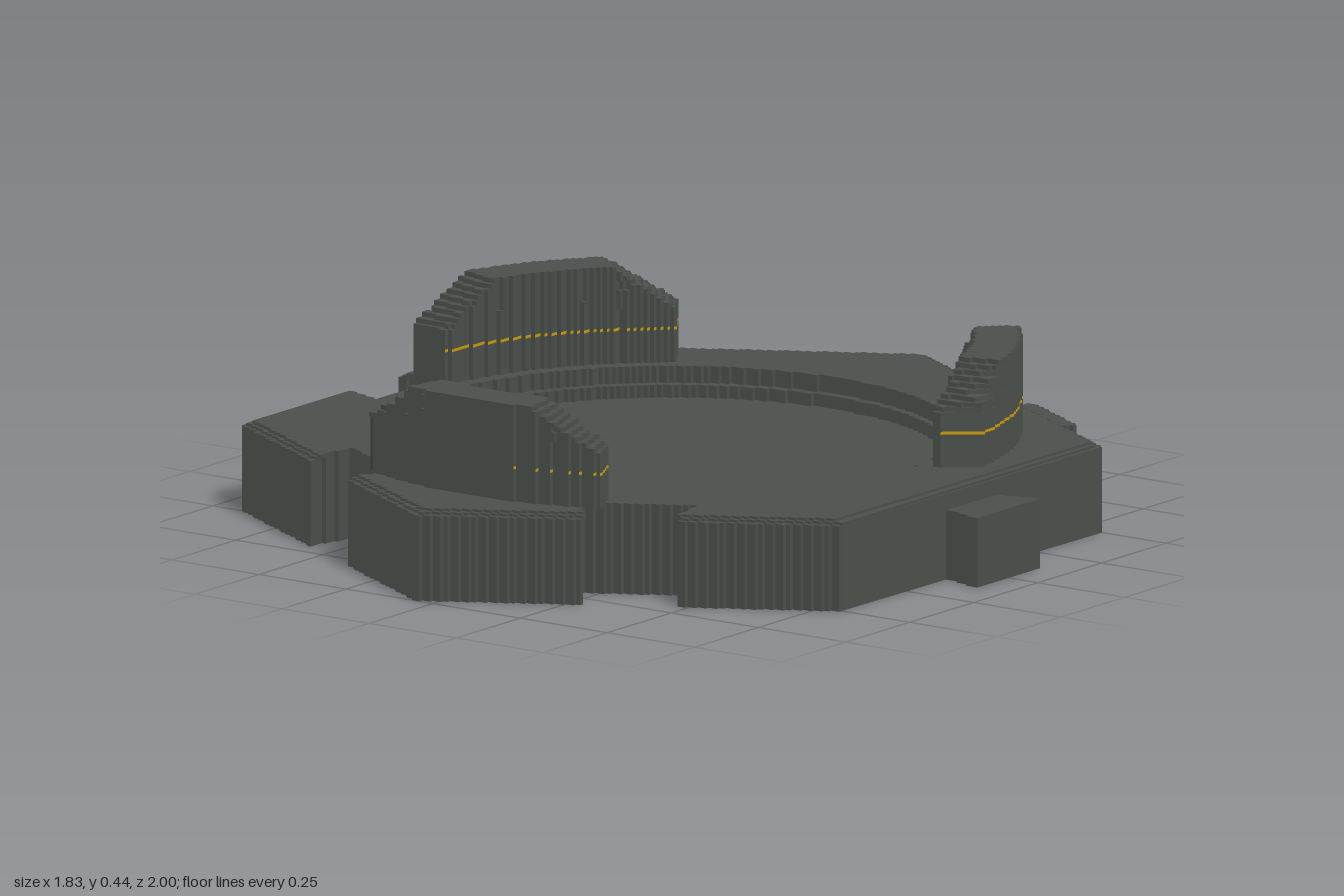
import * as THREE from 'three';

const CELL = 1 / 90; // grid pitch of the stepped outlines
const APOTHEM = 0.866;
const RAD = Math.PI / 180;

const darkMetal = new THREE.MeshStandardMaterial({ color: 0x4b504b });
darkMetal.name = 'darkMetal';
const yellowLine = new THREE.MeshStandardMaterial({ color: 0xc89a08 });
yellowLine.name = 'yellowLine';

const polar = (r, deg) => [r * Math.cos(deg * RAD), r * Math.sin(deg * RAD)];

// Point at distance d along direction deg, moved s sideways
const onEdge = (deg, d, s) => {
  const c = Math.cos(deg * RAD), n = Math.sin(deg * RAD);
  return [d * c - s * n, d * n + s * c];
};

// Turns a polygon into an axis-aligned staircase on the grid
function stepped(points) {
  const path = [];
  const push = (x, y) => {
    const last = path[path.length - 1];
    if (!last || last[0] !== x || last[1] !== y) path.push([x, y]);
  };
  points.forEach((a, i) => {
    const b = points[(i + 1) % points.length];
    const n = Math.max(1, Math.ceil(Math.hypot(b[0] - a[0], b[1] - a[1]) / CELL * 4));
    for (let k = 0; k < n; k++) {
      const x = Math.round((a[0] + (b[0] - a[0]) * k / n) / CELL);
      const y = Math.round((a[1] + (b[1] - a[1]) * k / n) / CELL);
      const last = path[path.length - 1];
      if (last && last[0] !== x && last[1] !== y) push(x, last[1]);
      push(x, y);
    }
  });
  // close with a square corner
  const first = path[0], end = path[path.length - 1];
  if (first[0] !== end[0] && first[1] !== end[1]) push(first[0], end[1]);
  // drop points lying on straight runs
  const corners = path.filter((p, i) => {
    const q = path[(i + path.length - 1) % path.length], r = path[(i + 1) % path.length];
    return (p[0] - q[0]) * (r[1] - p[1]) !== (p[1] - q[1]) * (r[0] - p[0]);
  });
  return corners.map(([x, y]) => new THREE.Vector2(x * CELL, y * CELL));
}

// Upright slab between two heights, with an optional hole
function slab(outline, y0, y1, hole) {
  const shape = new THREE.Shape(stepped(outline));
  if (hole) shape.holes.push(new THREE.Path(stepped(hole)));
  const g = new THREE.ExtrudeGeometry(shape, { depth: y1 - y0, bevelEnabled: false });
  g.rotateX(-Math.PI / 2);
  g.translate(0, y0, 0);
  return g;
}

const circle = r => Array.from({ length: 72 }, (_, i) => polar(r, i * 5));

// Hexagon with dovetail slots in three of its sides
function hexOutline(inset) {
  const a = APOTHEM - inset, pts = [];
  for (let i = 0; i < 6; i++) {
    const deg = i * 60;
    pts.push(polar(a / Math.cos(30 * RAD), deg - 30));
    if (deg >= 180) {
      pts.push(onEdge(deg, a, -0.11), onEdge(deg, 0.745, -0.14),
        onEdge(deg, 0.745, 0.14), onEdge(deg, a, 0.11));
    }
  }
  return pts;
}

// Curved block outline centred on a direction
function arcOutline(deg, half) {
  const outer = [], inner = [];
  for (let i = 0; i <= 12; i++) {
    const t = half * (i / 6 - 1);
    outer.push(polar(0.805, deg + t));
    inner.unshift(polar(0.7, deg + t));
  }
  return outer.concat(inner);
}

function add(parent, name, geometry, material = darkMetal) {
  const mesh = new THREE.Mesh(geometry, material);
  mesh.name = name;
  parent.add(mesh);
}

// Slab whose faces toward left and right are yellow
function addBand(parent, outline, y0, y1) {
  const g = slab(outline, y0, y1);
  const normal = g.attributes.normal;
  g.clearGroups();
  for (let i = 0; i < normal.count; i += 3) {
    g.addGroup(i, 3, Math.abs(normal.getX(i)) > 0.5 ? 1 : 0);
  }
  add(parent, 'lineBand', g, [darkMetal, yellowLine]);
}

export function createModel() {
  const model = new THREE.Group();
  model.name = 'hexagonalBase';
  const body = new THREE.Group();
  body.name = 'body';
  body.position.x = -0.05;
  model.add(body);

  // Plate: socket below, round stepped recess above, stepped top edge
  const hex = hexOutline(0);
  add(body, 'lowerPlate', slab(hex, 0, 0.08, circle(0.11)));
  add(body, 'floorPlate', slab(hex, 0.08, 0.145));
  add(body, 'recessLedge', slab(hex, 0.145, 0.175, circle(0.642)));
  add(body, 'recessWall', slab(hex, 0.175, 0.203, circle(0.664)));
  add(body, 'rimStep', slab(hexOutline(0.012), 0.203, 0.209, circle(0.664)));
  add(body, 'rimTop', slab(hexOutline(0.023), 0.209, 0.215, circle(0.664)));

  // Dovetail tabs
  for (const deg of [0, 60, 120]) {
    add(body, 'dovetailTab', slab([
      onEdge(deg, 0.84, -0.09), onEdge(deg, 0.966, -0.125),
      onEdge(deg, 0.966, 0.125), onEdge(deg, 0.84, 0.09),
    ], 0, 0.165));
  }

  // Curved walls with a line and stepped shoulders
  for (const deg of [30, 150, 270]) {
    const wall = new THREE.Group();
    wall.name = 'curvedWall';
    body.add(wall);
    const base = arcOutline(deg, 24.3);
    add(wall, 'wallBase', slab(base, 0.215, 0.292));
    addBand(wall, base, 0.292, 0.299);
    add(wall, 'wallMiddle', slab(base, 0.299, 0.345));
    const steps = 9, rise = 0.1 / steps;
    for (let k = 0; k < steps; k++) {
      const half = 24.3 - 12 * (k + 0.7) / steps;
      add(wall, 'wallStep', slab(arcOutline(deg, half), 0.345 + k * rise, 0.345 + (k + 1) * rise));
    }
  }
  return model;
}
